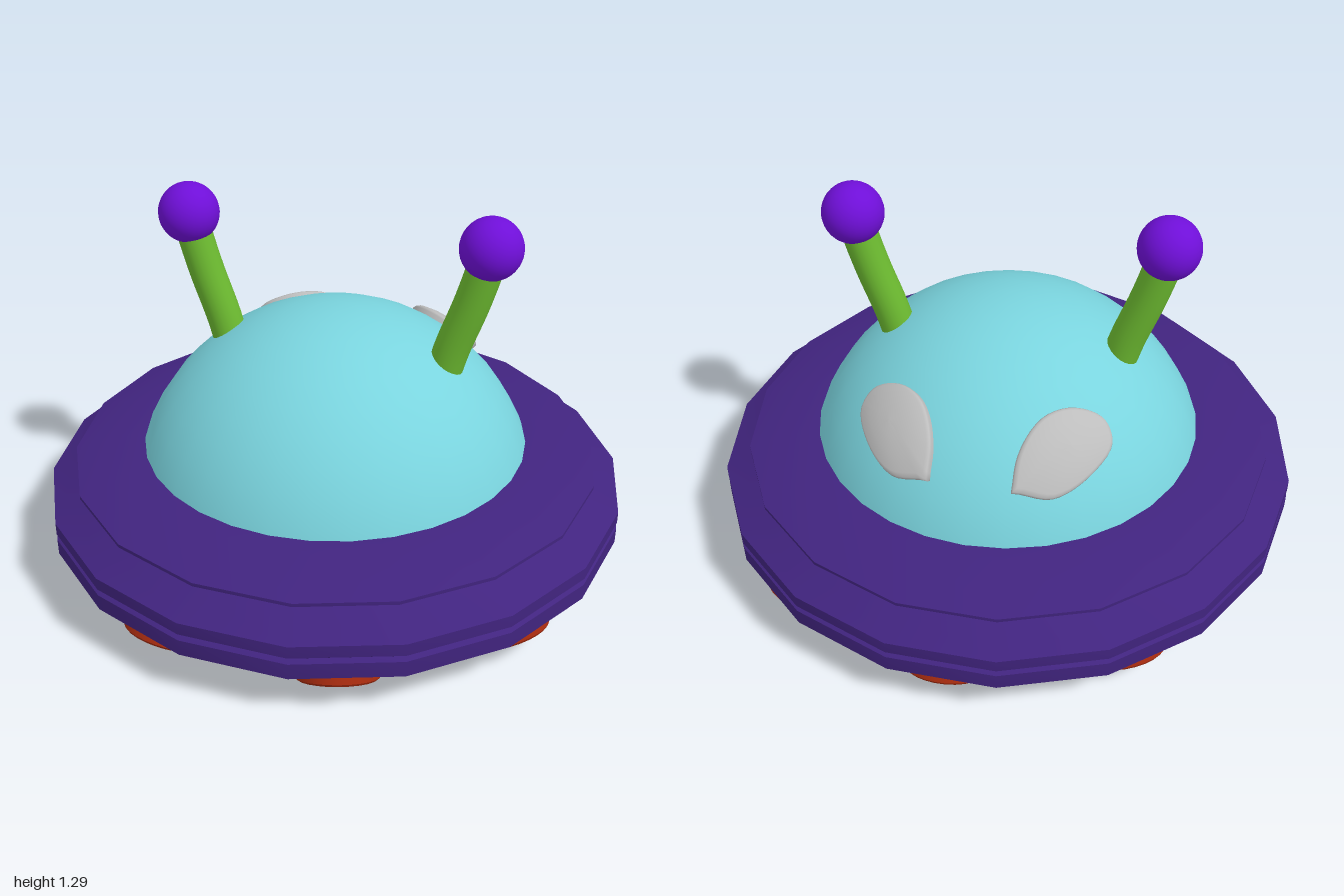
import * as THREE from 'three';
import { toCreasedNormals } from 'three/addons/utils/BufferGeometryUtils.js';

const mat = (name, color) => {
  const m = new THREE.MeshStandardMaterial({ color });
  m.name = name;
  return m;
};

const DOME_R = 0.71, DOME_Y = 0.19;

// Spun profile with sharp steps, smooth around
function spin(profile, segments) {
  const pts = profile.map(([r, y]) => new THREE.Vector2(r, y));
  return toCreasedNormals(new THREE.LatheGeometry(pts, segments, Math.PI / 2), 0.37);
}

// Puffed teardrop plate wrapped over the dome; side is -1 or 1
function eyeGeometry(side) {
  const outline = [[-0.134, -0.583], [-0.262, -0.556], [-0.364, -0.465], [-0.417, -0.353],
    [-0.385, -0.31], [-0.289, -0.326], [-0.193, -0.396], [-0.139, -0.503], [-0.134, -0.583]];
  const curve = new THREE.CatmullRomCurve3(outline.map(([x, z]) => new THREE.Vector3(x, 0, z)));
  const n = 40, pts = curve.getPoints(n).slice(0, n);
  const cx = -0.29, cz = -0.43;
  const rings = [[1, -0.02], [1, 0.014], [0.97, 0.021], [0.9, 0.026], [0.6, 0.031], [0.3, 0.033], [0.001, 0.033]];
  const pos = [], idx = [];
  for (const [s, lift] of rings) {
    for (const p of pts) {
      const x = cx + (p.x - cx) * s, z = cz + (p.z - cz) * s;
      const v = new THREE.Vector3(x, Math.sqrt(0.73 * 0.73 - x * x - z * z), z).setLength(DOME_R + lift);
      pos.push(v.x * -side, v.y + DOME_Y, v.z);
    }
  }
  for (let r = 0; r < rings.length - 1; r++) {
    for (let i = 0; i < n; i++) {
      const j = (i + 1) % n;
      const a = r * n + i, b = r * n + j, c = a + n, d = b + n;
      if (side < 0) idx.push(a, b, d, a, d, c);
      else idx.push(a, d, b, a, c, d);
    }
  }
  const g = new THREE.BufferGeometry();
  g.setAttribute('position', new THREE.Float32BufferAttribute(pos, 3));
  g.setIndex(idx);
  g.computeVertexNormals();
  return g;
}

export function createModel() {
  const model = new THREE.Group();
  model.name = 'saucer';
  const purple = mat('hull purple', 0x41247f);
  const cyan = mat('dome cyan', 0x7ad4de);
  const green = mat('stalk green', 0x6cba30);
  const violet = mat('ball violet', 0x6f0fd8);
  const red = mat('light red', 0xa32a0e);
  const grey = mat('eye grey', 0xbdbdbd);

  const add = (parent, name, geometry, material) => {
    const m = new THREE.Mesh(geometry, material);
    m.name = name;
    parent.add(m);
    return m;
  };

  // Hull: eighteen-sided stepped disc with a sloped recess below
  add(model, 'hull', spin([
    [0.5, 0.143], [0.7, 0.01], [1, 0.18], [1, 0.235], [0.985, 0.245], [1, 0.258], [1, 0.3],
    [0.9, 0.35], [0.885, 0.36], [0.91, 0.375], [0.91, 0.387], [0.72, 0.437], [0.6, 0.437],
  ], 18), purple);

  // Dome
  const dome = add(model, 'dome',
    new THREE.SphereGeometry(DOME_R, 32, 10, 0, Math.PI * 2, 0, 1.3), cyan);
  dome.position.y = DOME_Y;

  // Hatch: stepped funnel under the hull
  add(model, 'bottomHatch', spin([
    [0, 0.36], [0.09, 0.36], [0.09, 0.28], [0.165, 0.27], [0.325, 0.14],
    [0.44, 0.14], [0.46, 0.11], [0.57, 0.11],
  ], 32), cyan);

  // Nine ringed lights on the lower slope
  const ringGeo = spin([[0.132, -0.03], [0.132, 0.02], [0.124, 0.027], [0.105, 0.027],
    [0.098, 0.02], [0.098, -0.03]], 24);
  const lampGeo = spin([[0.078, -0.03], [0.078, 0.012], [0.054, 0.012], [0.054, 0.022],
    [0.048, 0.028], [0, 0.028]], 24);
  for (let i = 0; i < 9; i++) {
    const pivot = new THREE.Group();
    pivot.name = 'light' + (i + 1);
    pivot.rotation.y = THREE.MathUtils.degToRad(18.5 + 40 * i);
    const holder = new THREE.Group();
    holder.name = 'lightHolder';
    holder.position.set(0, 0.094, 0.85);
    holder.rotation.x = Math.PI - 0.52;
    add(holder, 'lightRing', ringGeo, red);
    add(holder, 'lightLamp', lampGeo, red);
    pivot.add(holder);
    model.add(pivot);
  }

  // Antennae and eyes, mirrored
  for (const side of [-1, 1]) {
    const label = side < 0 ? 'right' : 'left';
    const path = new THREE.CatmullRomCurve3(
      [[0.37, 0.7], [0.405, 0.83], [0.46, 0.99], [0.495, 1.11], [0.515, 1.195]]
        .map(([x, y]) => new THREE.Vector3(x * side, y, 0)));
    add(model, label + 'Stalk', new THREE.TubeGeometry(path, 16, 0.06, 20), green);
    add(model, label + 'Ball', new THREE.SphereGeometry(0.103, 32, 20), violet)
      .position.set(0.515 * side, 1.193, 0);
    add(model, label + 'Eye', eyeGeometry(side), grey);
  }
  return model;
}
